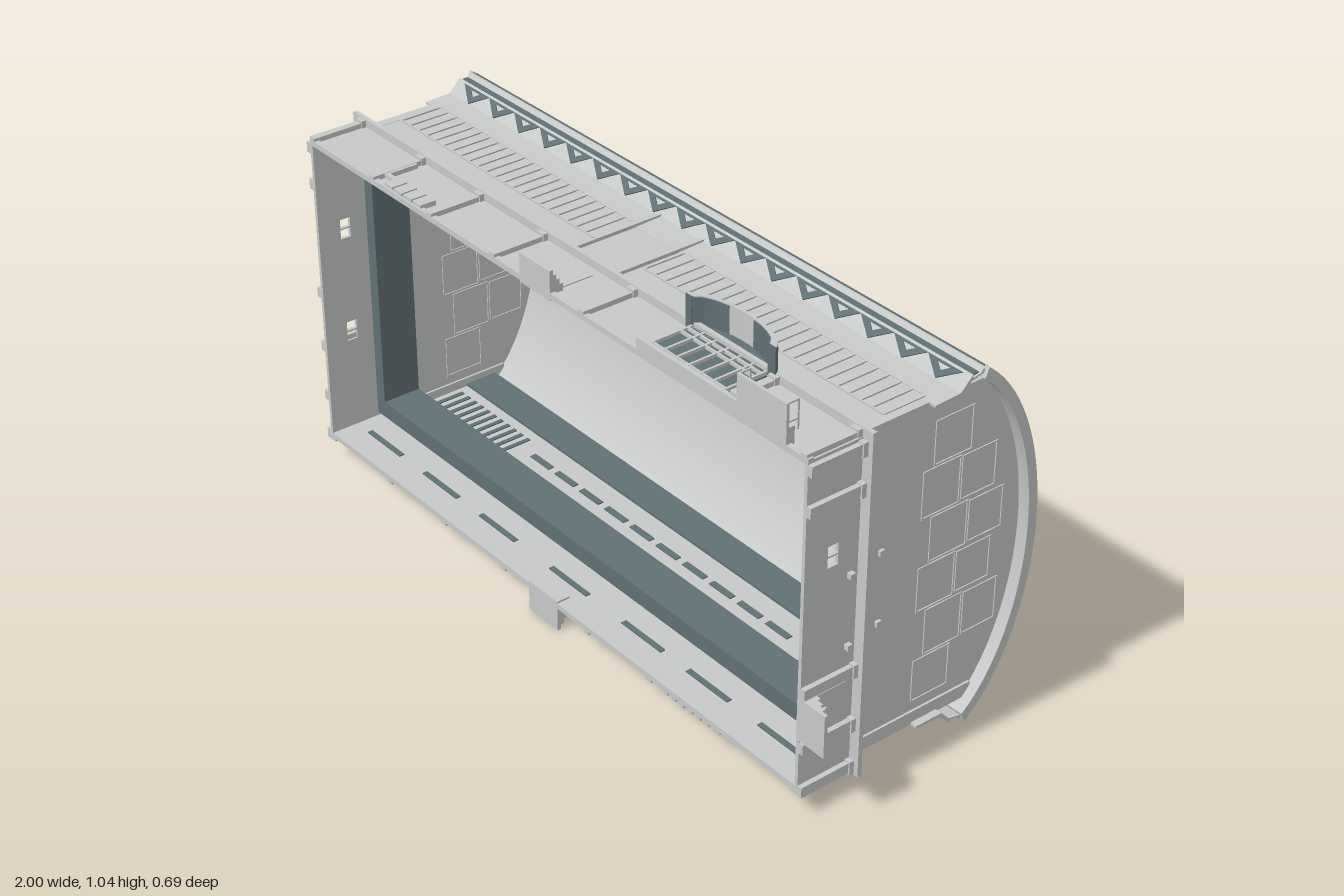
import * as THREE from 'three';
import { toCreasedNormals } from 'three/addons/utils/BufferGeometryUtils.js';

const MID = 0.505;            // middle of the hall across y
const X0 = -0.945, X1 = 0.9;  // end walls of the hall

export function createModel() {
  const root = new THREE.Group();
  root.name = 'archedHall';
  const stone = new THREE.MeshStandardMaterial({ color: 0xc6c9c8, side: THREE.DoubleSide });
  const slate = new THREE.MeshStandardMaterial({ color: 0x617074, side: THREE.DoubleSide });
  stone.name = 'stone grey';
  slate.name = 'slate blue grey';

  const add = (name, geo, mat = stone) => {
    const m = new THREE.Mesh(geo, mat);
    m.name = name;
    root.add(m);
  };
  // box from its limits
  const box = (name, x0, x1, y0, y1, z0, z1, mat) => {
    const g = new THREE.BoxGeometry(Math.abs(x1 - x0), Math.abs(y1 - y0), Math.abs(z1 - z0));
    add(name, g.translate((x0 + x1) / 2, (y0 + y1) / 2, (z0 + z1) / 2), mat);
  };
  const poly = pts => new THREE.Shape(pts.map(p => new THREE.Vector2(p[0], p[1])));
  const rect = (a, b, c, d) => poly([[a, c], [b, c], [b, d], [a, d]]);
  const extrude = (shape, depth) => new THREE.ExtrudeGeometry(shape, { depth, bevelEnabled: false });
  // shape drawn in (-z, y), extruded along x
  const alongX = (shape, x0, x1) => extrude(shape, x1 - x0).rotateY(Math.PI / 2).translate(x0, 0, 0);
  // shape drawn in (x, -z), extruded along y
  const alongY = (shape, y0, y1) => extrude(shape, y1 - y0).rotateX(-Math.PI / 2).translate(0, y0, 0);
  // points on the vault, from one eave to the other
  const arc = (a, b, t, n = 48) => Array.from({ length: n + 1 }, (_, i) => {
    const u = -t + 2 * t * i / n;
    return [0.015 + b * Math.cos(u), MID + a * Math.sin(u)];
  });

  // vaulted roof with raised end rims
  const shell = (a, b, ai, bi, x0, x1) => toCreasedNormals(
    alongX(poly([...arc(a, b, 1.124), ...arc(ai, bi, 1.122).reverse()]), x0, x1), 0.5);
  add('roof', shell(0.527, 0.327, 0.505, 0.305, -0.975, 0.93));
  for (const x of [-0.98, 0.92]) add('roofRim', shell(0.531, 0.33, 0.503, 0.303, x, x + 0.014));

  // gable end walls with panel frames and corner strips
  const gable = poly([[-0.19, MID - 0.433], ...arc(0.507, 0.307, 1.03), [-0.19, MID + 0.433]]);
  const rows = [0.13, 0.25, 0.38, 0.505, 0.63, 0.76, 0.88];
  for (const [x0, x1] of [[X0, X0 + 0.014], [X1 - 0.014, X1]]) {
    add('gableWall', alongX(gable, x0, x1));
    const frame = (y0, y1, a0, a1) => {
      const s = rect(a0, a1, y0, y1), w = 0.004;
      s.holes.push(rect(a0 + w, a1 - w, y0 + w, y1 - w));
      add('gablePanelFrame', alongX(s, x0 - 0.003, x1 + 0.003));
    };
    for (let i = 0; i < 6; i++) {
      const stagger = i % 2 ? 0.03 : 0;
      frame(rows[i] + 0.002, rows[i + 1] - 0.002, 0.01 + stagger, 0.125 + stagger);
      if (i > 0 && i < 5) frame(rows[i] + 0.006, rows[i + 1] - 0.006, 0.128 + stagger, 0.235 + stagger);
    }
    for (const y of [0.41, 0.6]) box('wallLamp', x0 - 0.008, x1 + 0.008, y - 0.007, y + 0.007, 0.1, 0.114);
    for (const s of [-1, 1])
      box('cornerStrip', x0 - 0.006, x1 + 0.006, MID + s * 0.398, MID + s * 0.434, -0.195, 0.18);
  }

  // floor ledge and the deep inner slate frame
  const ledge = rect(-1, 0.95, MID - 0.457, MID + 0.457);
  ledge.holes.push(rect(-0.94, 0.895, MID - 0.428, MID + 0.428));
  add('floorLedge', extrude(ledge, 0.012).translate(0, 0, 0.18));
  const ring = rect(-0.96, 0.915, MID - 0.415, MID + 0.418);
  ring.holes.push(rect(-0.92, 0.868, MID - 0.368, MID + 0.375));
  add('innerFrame', extrude(ring, 0.012).translate(0, 0, 0.188), slate);
  const lining = rect(-0.926, 0.874, MID - 0.374, MID + 0.381);
  lining.holes.push(rect(-0.92, 0.868, MID - 0.368, MID + 0.375));
  add('frameLining', extrude(lining, 0.1).translate(0, 0, 0.09), slate);
  box('entranceLintel', 0.355, 0.62, 0.897, 0.928, 0.2, 0.205);

  const pilasterX = [-0.955, -0.69, -0.445, -0.19, 0.15, 0.39, 0.64, 0.905];
  for (const s of [-1, 1]) {
    const Y = h => MID + s * h;
    // long upper wall, eave with sunken gutter
    box('upperWall', X0, X1, Y(0.423), Y(0.433), -0.17, 0.185);
    add('eave', alongX(poly([[0.01, 0.434], [0.085, 0.437], [0.113, 0.466], [0.118, 0.471], [0.119, 0.462],
      [0.142, 0.466], [0.15, 0.476], [0.155, 0.464], [0.115, 0.456], [0.09, 0.428], [0.01, 0.428]]
      .map(p => [p[0], Y(p[1])])), -0.97, 0.925));
    box('gutter', -0.965, 0.92, Y(0.464), Y(0.468), -0.14, -0.119, slate);
    box('roofSeam', -0.965, 0.918, Y(0.465), Y(0.4715), -0.168, -0.162, slate);
    box('innerEaveBand', -0.93, 0.885, Y(0.416), Y(0.423), -0.165, -0.07, slate);
    // zigzag truss lying on the eave slope
    const n = 17, w = 1.84 / n;
    for (let i = 0; i < n; i++) {
      const x = -0.94 + i * w;
      const tri = poly([[x, 0.04], [x + w, 0.04], [x + w / 2, 0]]);
      tri.holes.push(poly([[x + 0.034, 0.034], [x + w - 0.034, 0.034], [x + w / 2, 0.019]]));
      const g = extrude(tri, 0.006).translate(0, 0, -0.003);
      g.rotateX(s > 0 ? -0.8 : 0.8 - Math.PI).translate(0, Y(0.438), -0.085);
      add('eaveTruss', g, slate);
    }
    // central bay strips
    for (const x of [-0.105, 0.055])
      box('bayStrip', x - 0.004, x + 0.004, Y(0.43), Y(0.442), -0.1, 0.18);

    // lower wall, pilasters and plinth
    box('lowerWall', -0.96, 0.915, Y(0.425), Y(0.435), 0.19, 0.345);
    for (const x of pilasterX) {
      if (s > 0 && x === 0.39) continue;
      box('pilaster', x - 0.01, x + 0.01, Y(0.43), Y(0.448), 0.19, 0.345);
      box('pilasterCapital', x - 0.013, x + 0.013, Y(0.43), Y(0.454), 0.19, 0.205);
    }
    box('plinth', -0.965, 0.92, Y(0.43), Y(0.44), 0.33, 0.345);
    // central stairs
    const reach = s > 0 ? 0.497 : 0.505;
    for (let i = 0; i < 4; i++)
      box('stairStep', -0.08, 0.035, Y(0.42), Y(reach - i * 0.014), 0.335 - i * 0.009, 0.345 - i * 0.009);
    box('centralDoor', -0.07, 0.025, Y(0.433), Y(0.438), 0.215, 0.31);
  }

  // clerestory bars on the upper side
  for (const [a, b] of [[-0.92, -0.12], [0.07, 0.88]]) {
    for (const z of [-0.02, 0.1]) box('windowRail', a, b, 0.936, 0.942, z - 0.002, z + 0.002);
    for (let i = 0; i <= 22; i++) {
      const x = a + (b - a) * i / 22;
      box('windowBar', x - 0.004, x + 0.004, 0.936, 0.942, -0.02, 0.1);
    }
  }
  // grilles and slots on the lower side, dark on the inside
  for (const [a, b] of [[-0.9, -0.6], [0.58, 0.86]]) {
    for (let i = 0; i <= 10; i++) {
      const x = a + (b - a) * i / 10;
      box('grilleBar', x - 0.003, x + 0.003, 0.068, 0.073, 0, 0.12);
      box('grilleSlot', x - 0.006, x + 0.006, 0.082, 0.085, -0.04, 0.08, slate);
    }
    for (const z of [0, 0.06, 0.12]) box('grilleRail', a, b, 0.068, 0.073, z - 0.003, z + 0.003);
  }
  for (let i = 0; i < 10; i++) {
    const x = -0.53 + i * 0.105;
    box('wallSlot', x, x + 0.08, 0.069, 0.073, 0.05, 0.062);
    box('innerWallSlot', x, x + 0.08, 0.082, 0.085, -0.01, 0.008, slate);
  }
  for (let i = 0; i < 7; i++) {
    const c = (pilasterX[i] + pilasterX[i + 1]) / 2;
    box('lowerWallSlot', c - 0.075, c + 0.075, 0.08, 0.083, 0.258, 0.273, slate);
  }

  // lower end walls with small windows
  const endWall = (x0, x1, holes) => {
    const s = rect(-0.345, -0.19, MID - 0.435, MID + 0.435);
    for (const y of holes)
      for (const d of [0, 0.03]) s.holes.push(rect(-0.28, -0.25, y + d, y + d + 0.026));
    add('lowerEndWall', alongX(s, x0, x1));
  };
  endWall(-0.965, -0.955, [0.34, 0.642]);
  endWall(0.91, 0.92, [0.642]);
  for (const [x0, x1] of [[-0.982, -0.96], [0.915, 0.933]]) {
    for (const y of [0.07, 0.19, 0.34, 0.5, 0.815, 0.918]) {
      if (x0 > 0 && y === 0.5) continue;
      box('endPilaster', x0, x1, y - 0.014, y + 0.014, 0.19, 0.345);
      box('endCapital', x0 - 0.004, x1 + 0.004, y - 0.018, y + 0.018, 0.19, 0.205);
    }
    for (const y of [0.41, 0.6]) box('endLamp', x0, x1, y - 0.007, y + 0.007, 0.208, 0.222);
  }

  // side door and its stairs
  box('sideDoor', 0.918, 0.924, 0.215, 0.315, 0.215, 0.31);
  for (const y of [0.27, 0.255]) box('doorHandle', 0.924, 0.93, y, y + 0.004, 0.275, 0.29);
  for (let i = 0; i < 4; i++)
    box('sideStep', 0.915, 1 - i * 0.018, 0.21, 0.325, 0.336 - i * 0.009, 0.345 - i * 0.009);

  // arched entrance canopy with slate-lined sides and glazed doors
  const bow = (r, n = 16) => Array.from({ length: n + 1 }, (_, i) => {
    const u = -1 + 2 * i / n;
    return [0.487 + 0.153 * u * r, -0.192 + 0.05 * r * Math.pow(1 - u * u, 0.6)];
  });
  add('canopyRoof', toCreasedNormals(alongY(poly([...bow(1), ...bow(0.86).reverse()]), 0.9, 1.027), 0.5));
  for (const [a, b] of [[0, 6], [10, 17]])
    add('canopyLining', alongY(poly([...bow(0.87).slice(a, b), ...bow(0.82).slice(a, b).reverse()]), 0.94, 1.024), slate);
  add('canopyFanlight', alongY(poly(bow(0.86)), 0.945, 0.953), slate);
  for (const x of [0.335, 0.618]) box('canopyEdge', x, x + 0.022, 0.938, 1.026, 0.187, 0.194, slate);
  box('entranceGlass', 0.36, 0.612, 0.94, 0.948, 0.19, 0.31, slate);
  for (let i = 0; i <= 6; i++) {
    const x = 0.36 + i * 0.042;
    box('entranceMullion', x - 0.003, x + 0.003, 0.946, 0.956, 0.195, 0.335);
  }
  for (const z of [0.205, 0.225, 0.305]) box('entranceRail', 0.36, 0.612, 0.946, 0.956, z, z + 0.005);
  box('entranceStep', 0.35, 0.69, 0.935, 0.975, 0.333, 0.345);

  // side porch with railing
  box('porchFloor', 0.69, 0.85, 0.935, 1.045, 0.338, 0.345);
  box('porchStep', 0.66, 0.85, 0.935, 0.985, 0.322, 0.338);
  for (const x of [0.692, 0.846]) {
    for (const y of [0.995, 1.041]) box('railPost', x - 0.002, x + 0.002, y, y + 0.004, 0.31, 0.34);
    box('railTop', x - 0.002, x + 0.002, 0.97, 1.045, 0.308, 0.312);
  }

  // crates and pipe along the upper side, comb steps along the lower side
  for (let i = 0; i < 4; i++)
    box('crate', -0.64 + i * 0.04, -0.606 + i * 0.04, 0.935, 0.953, 0.295, 0.34);
  box('pipe', -0.685, -0.672, 0.935, 0.952, 0.22, 0.31);
  box('pipeFoot', -0.685, -0.64, 0.935, 0.952, 0.3, 0.312);
  for (let i = 0; i < 7; i++)
    box('combStep', 0.44 + i * 0.03, 0.455 + i * 0.03, 0.05, 0.08, 0.3, 0.34);

  return root;
}
